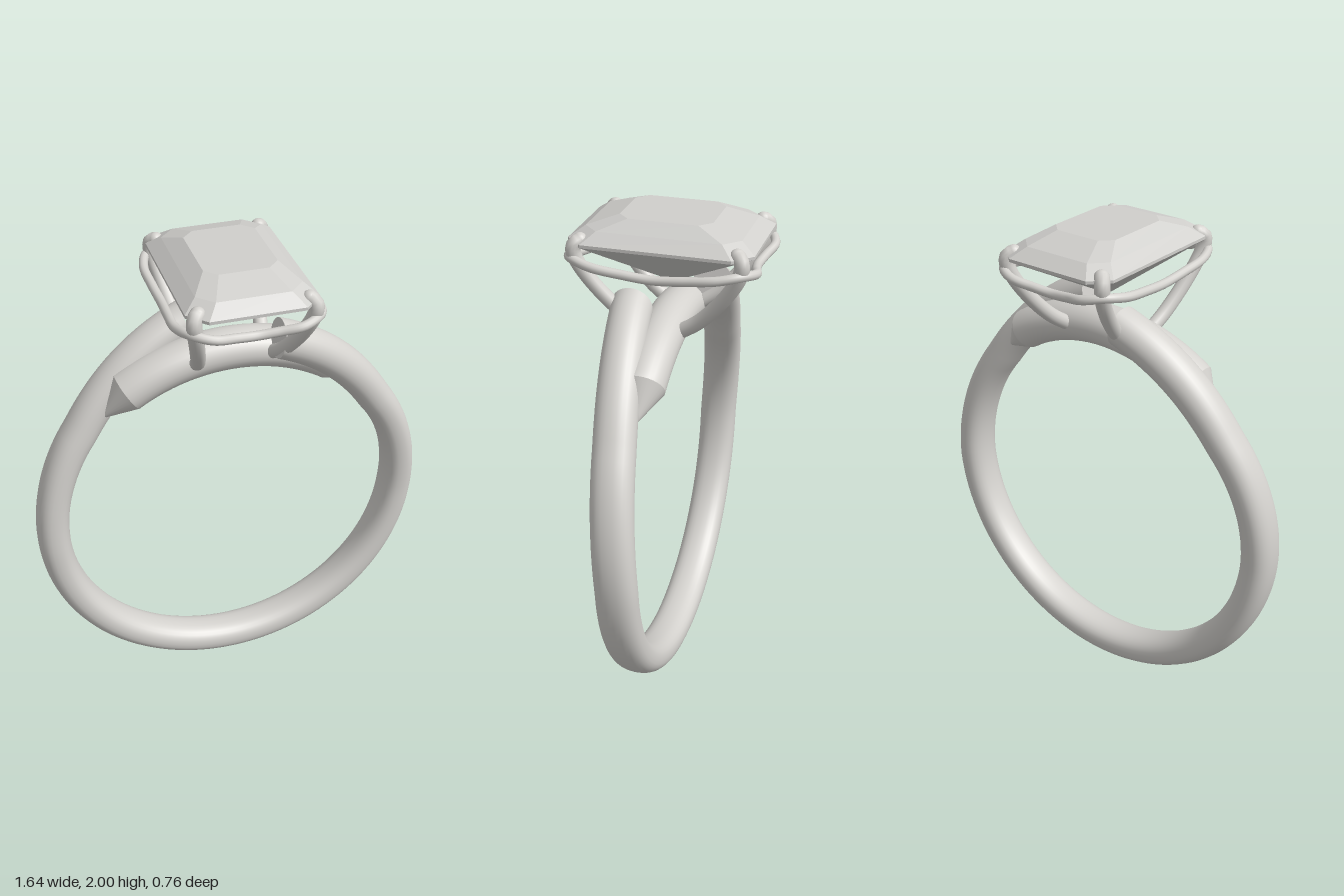
import * as THREE from 'three';

const metal = new THREE.MeshStandardMaterial({ color: 0xd4d2ce });
metal.name = 'polished metal';
const stone = new THREE.MeshStandardMaterial({ color: 0xd0cfcc });
stone.name = 'stone';

const CENTRE_Y = 0.82;
const rad = THREE.MathUtils.degToRad;
const smooth = THREE.MathUtils.smoothstep;
const v = (x, y, z) => new THREE.Vector3(x, y, z);

function add(group, name, geometry, material = metal) {
  const mesh = new THREE.Mesh(geometry, material);
  mesh.name = name;
  group.add(mesh);
  return mesh;
}

// Sweeps an oval section round the finger axis; angles run clockwise from the top.
function sweepRound(angles, section, sides = 28) {
  const pos = [], index = [];
  const ring = (deg) => {
    const { r, z, thick, wide, power = 1 } = section(deg);
    const s = Math.sin(rad(deg)), c = Math.cos(rad(deg));
    const shape = (k) => Math.sign(k) * Math.abs(k) ** power;
    for (let j = 0; j < sides; j++) {
      const a = (j / sides) * Math.PI * 2;
      const rr = r + thick * shape(Math.cos(a));
      pos.push(rr * s, CENTRE_Y + rr * c, z + wide * shape(Math.sin(a)));
    }
    return [r * s, CENTRE_Y + r * c, z];
  };
  angles.forEach(ring);
  for (let i = 0; i < angles.length - 1; i++) {
    for (let j = 0; j < sides; j++) {
      const k = (j + 1) % sides, o = i * sides, n = o + sides;
      index.push(o + j, o + k, n + k, o + j, n + k, n + j);
    }
  }
  // Flat end caps with their own corners
  [angles[0], angles[angles.length - 1]].forEach((deg, end) => {
    const o = pos.length / 3;
    const centre = ring(deg);
    pos.push(...centre);
    for (let j = 0; j < sides; j++) {
      const k = (j + 1) % sides;
      if (end) index.push(o + sides, o + j, o + k);
      else index.push(o + sides, o + k, o + j);
    }
  });
  const g = new THREE.BufferGeometry();
  g.setAttribute('position', new THREE.Float32BufferAttribute(pos, 3));
  g.setIndex(index);
  g.computeVertexNormals();
  return g;
}

// Shank whose two ends pass each other on opposite sides and lift off the circle
function shankGeometry() {
  const start = 10.5, steps = 120, angles = [];
  for (let i = 0; i <= steps; i++) angles.push(start + (i / steps) * (360 - 2 * start));
  return sweepRound(angles, (deg) => {
    const side = deg < 180 ? 1 : -1;
    const fromTop = deg < 180 ? deg : 360 - deg;
    const lift = Math.max(0, (53 - fromTop) / 42.5);
    const drift = Math.max(0, (95 - fromTop) / 84.5);
    const round = 1 - smooth(fromTop, 15, 80);
    return {
      r: 0.754 + 0.103 * lift ** 1.3,
      z: side * 0.118 * drift ** 1.3,
      thick: 0.066 + 0.012 * round,
      wide: 0.082,
      power: 0.86 + 0.14 * round,
    };
  });
}

// Bridge under the setting, with tapered points that die into the shank
function bridgeGeometry() {
  const full = 33, tip = 43.5, angles = [-tip, -full];
  for (let i = 0; i <= 32; i++) angles.push(-full + (i / 32) * 2 * full);
  angles.push(full, tip);
  return sweepRound(angles, (deg) => {
    const k = Math.abs(deg) > full + 0.01 ? 0.12 : 1;
    return { r: k < 1 ? 0.745 : 0.76, z: 0, thick: 0.082 * k, wide: 0.09 * k };
  });
}

// Step-cut stone: stacked eight-sided outlines closing to a point below
function stoneGeometry() {
  const outline = ([x, z, cut, y]) => [
    v(x, y, z - cut), v(x, y, -z + cut), v(x - cut, y, -z), v(-x + cut, y, -z),
    v(-x, y, -z + cut), v(-x, y, z - cut), v(-x + cut, y, z), v(x - cut, y, z),
  ];
  const rings = [
    [0.14, 0.18, 0.045, 2.0], [0.2, 0.3, 0.06, 1.96], [0.25, 0.357, 0.07, 1.92],
    [0.25, 0.357, 0.07, 1.908], [0, 0, 0, 1.715],
  ].map(outline);
  const pts = [];
  for (let j = 0; j < 8; j++) {
    const k = (j + 1) % 8;
    pts.push(v(0, 2, 0), rings[0][j], rings[0][k]);
    for (let i = 0; i < rings.length - 1; i++) {
      const [a, b] = [rings[i], rings[i + 1]];
      pts.push(a[j], b[j], a[k]);
      if (i < rings.length - 2) pts.push(a[k], b[j], b[k]);
    }
  }
  const g = new THREE.BufferGeometry().setFromPoints(pts);
  g.computeVertexNormals();
  return g;
}

// Claw rising from the bridge and bending over one stone corner
function claw(sx, sz) {
  const g = new THREE.Group();
  g.name = 'claw';
  const stem = [
    [0.15, 1.57, 0.06], [0.168, 1.635, 0.15], [0.195, 1.74, 0.245],
    [0.218, 1.84, 0.308], [0.226, 1.89, 0.322], [0.222, 1.914, 0.316], [0.207, 1.924, 0.3],
  ].map(([x, y, z]) => v(x * sx, y, z * sz));
  add(g, 'clawStem', new THREE.TubeGeometry(new THREE.CatmullRomCurve3(stem), 32, 0.029, 14));
  const tip = add(g, 'clawTip', new THREE.SphereGeometry(0.029, 16, 12));
  tip.position.copy(stem[6]);
  const foot = add(g, 'clawFoot', new THREE.SphereGeometry(0.029, 12, 8));
  foot.position.copy(stem[0]);
  return g;
}

// Wavy gallery wire that joins the four claws and dips between them
function galleryGeometry() {
  const quarter = [
    [0.264, 1.82, 0], [0.27, 1.831, 0.12], [0.272, 1.847, 0.24], [0.238, 1.86, 0.325],
    [0.165, 1.847, 0.36], [0.08, 1.83, 0.342], [0, 1.82, 0.33],
  ];
  const back = quarter.slice(1, 6).reverse();
  const mirror = (list, sx, sz) => list.map(([x, y, z]) => v(x * sx, y, z * sz));
  const loop = [
    ...mirror(quarter, 1, 1), ...mirror(back, -1, 1),
    ...mirror(quarter, -1, -1), ...mirror(back, 1, -1),
  ];
  return new THREE.TubeGeometry(new THREE.CatmullRomCurve3(loop, true), 160, 0.018, 12, true);
}

export function createModel() {
  const ring = new THREE.Group();
  ring.name = 'ring';
  add(ring, 'shank', shankGeometry());
  add(ring, 'bridge', bridgeGeometry());
  add(ring, 'galleryWire', galleryGeometry());
  for (const sx of [1, -1]) for (const sz of [1, -1]) ring.add(claw(sx, sz));
  add(ring, 'stone', stoneGeometry(), stone);
  return ring;
}
